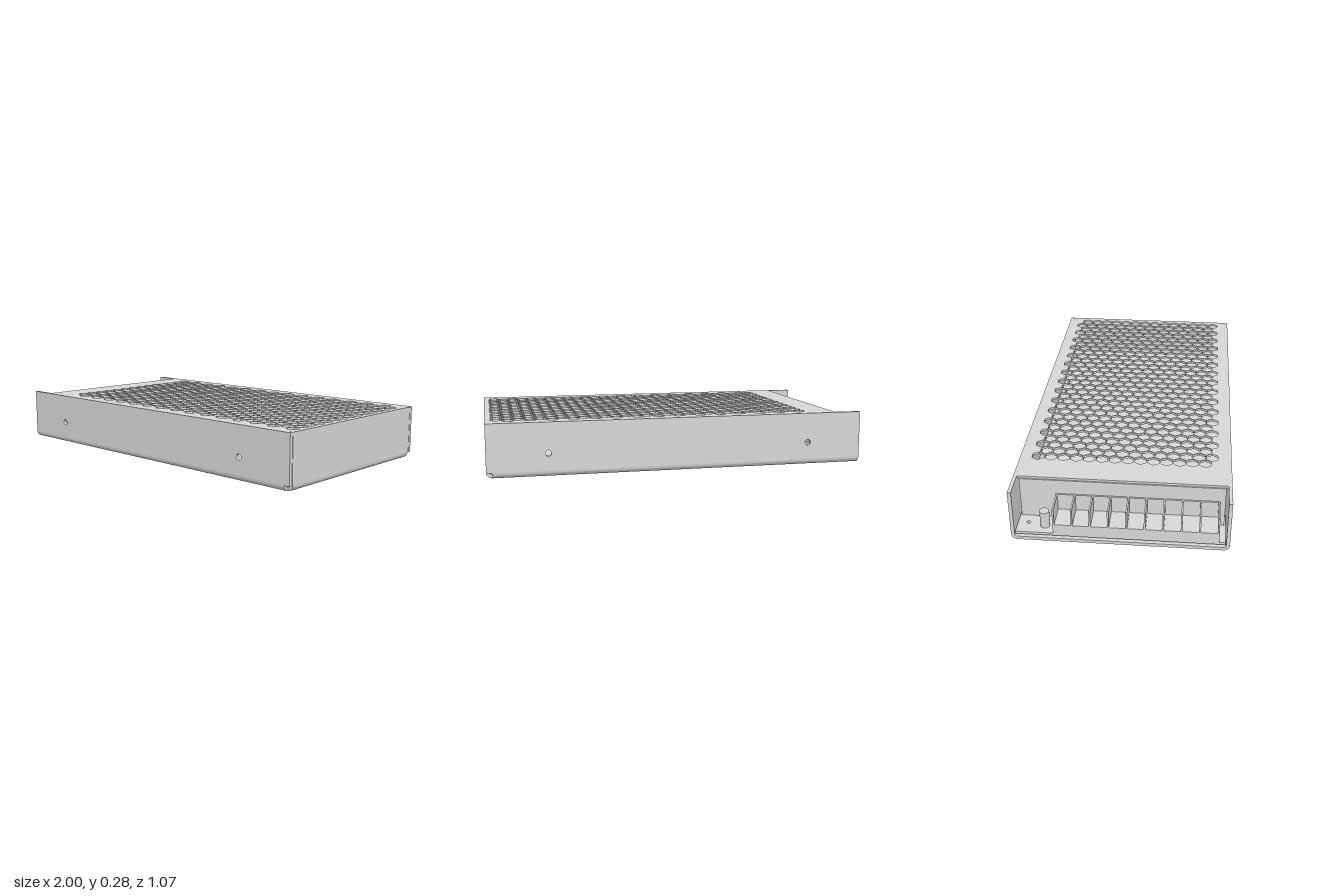
import * as THREE from 'three';
import { toCreasedNormals } from 'three/addons/utils/BufferGeometryUtils.js';

const HALF_Z = 0.533, HEIGHT = 0.28, T = 0.018, BEND = 0.03;

export function createModel() {
  const model = new THREE.Group();
  const metal = new THREE.MeshStandardMaterial({ color: 0xd8d5d6 });
  metal.name = 'galvanised grey';
  metal.side = THREE.DoubleSide;

  const add = (geometry, name, parent = model) => {
    const mesh = new THREE.Mesh(geometry, metal);
    mesh.name = name;
    parent.add(mesh);
    return mesh;
  };
  const box = (x0, x1, y0, y1, z0, z1, name, parent) => {
    const g = new THREE.BoxGeometry(x1 - x0, y1 - y0, z1 - z0);
    g.translate((x0 + x1) / 2, (y0 + y1) / 2, (z0 + z1) / 2);
    return add(g, name, parent);
  };
  const rect = (x0, x1, y0, y1) => new THREE.Shape([
    new THREE.Vector2(x0, y0), new THREE.Vector2(x1, y0),
    new THREE.Vector2(x1, y1), new THREE.Vector2(x0, y1),
  ]);
  // polygonal hole with n corners
  const punch = (shape, x, y, r, n) => {
    const pts = [];
    for (let i = 0; i < n; i++) {
      const a = -i / n * Math.PI * 2;
      pts.push(new THREE.Vector2(x + r * Math.cos(a), y + r * Math.sin(a)));
    }
    shape.holes.push(new THREE.Path(pts));
  };
  const extrude = (shape, depth) => new THREE.ExtrudeGeometry(shape, { depth, bevelEnabled: false, curveSegments: 12 });
  // horizontal plate drawn in x and -z
  const plate = (shape, y, depth) => extrude(shape, depth).rotateX(-Math.PI / 2).translate(0, y, 0);
  // quarter-round sheet bend, outer corner at lower right, centred on the origin
  const bend = (length) => {
    const s = new THREE.Shape();
    s.absarc(0, 0, BEND, -Math.PI / 2, 0, false);
    s.absarc(0, 0, BEND - T, 0, -Math.PI / 2, true);
    s.closePath();
    return toCreasedNormals(extrude(s, length), 0.6);
  };

  // Folded tray: floor with mounting holes
  const tray = new THREE.Group();
  tray.name = 'tray';
  model.add(tray);
  const floor = rect(-1, 1 - BEND, -(HALF_Z - BEND), HALF_Z - BEND);
  const floorHoles = [
    [0.68, -0.21, 0.015], [0.68, 0.26, 0.015], [-0.13, 0.18, 0.012], [-0.71, -0.21, 0.015], [-0.71, 0.26, 0.015],
    [-0.75, -0.43, 0.008], [-0.76, 0.17, 0.008], [0.9, 0.46, 0.008], [0.9, -0.44, 0.008],
  ];
  for (const [x, z, r] of floorHoles) punch(floor, x, -z, r, 16);
  add(plate(floor, 0, T), 'floor', tray);

  // Side walls with screw holes, and their bends
  for (const side of [1, -1]) {
    const wall = rect(-1, 1, BEND, HEIGHT);
    for (const x of [-0.7, 0.69]) punch(wall, x, 0.121, 0.016, 20);
    const name = side > 0 ? 'front' : 'back';
    add(extrude(wall, T).translate(0, 0, side > 0 ? HALF_Z - T : -HALF_Z), name + 'Wall', tray);
    const g = bend(2 - BEND);
    if (side > 0) g.rotateY(-Math.PI / 2).translate(1 - BEND, BEND, HALF_Z - BEND);
    else g.rotateY(Math.PI / 2).translate(-1, BEND, -HALF_Z + BEND);
    add(g, name + 'Bend', tray);
  }

  // Closed end, fitted between the side walls, with its bend
  const endZ = 0.512, endBendZ = 0.505;
  box(1 - T, 1, BEND, HEIGHT, -endZ, endZ, 'endWall', tray);
  add(bend(2 * endBendZ).translate(1 - BEND, BEND, -endBendZ), 'endBend', tray);

  // Perforated lid with honeycomb vents
  const lid = rect(-0.86, 1 - T, -(HALF_Z - T), HALF_Z - T);
  const pitch = 0.0652, step = 0.0559;
  for (let c = 0; c < 30; c++) {
    for (let r = 0; r < 14; r++) {
      const z = -0.444 + (r + (c % 2) / 2) * pitch;
      punch(lid, -0.68 + c * step, -z, 0.0335, 6);
    }
  }
  add(plate(lid, HEIGHT - 0.012, 0.012), 'perforatedLid');

  // Bulkhead under the lid edge
  box(-0.866, -0.858, 0.045, HEIGHT - 0.012, -0.505, 0.505, 'bulkhead');

  // Circuit board along the whole case, with a small hole and an adjuster post
  const board = rect(-0.995, 0.97, -0.512, 0.512);
  punch(board, -0.92, 0.46, 0.01, 12);
  add(plate(board, 0.031, 0.014), 'circuitBoard');
  add(new THREE.CylinderGeometry(0.024, 0.024, 0.09, 20).translate(-0.938, 0.09, -0.374), 'adjusterPost');

  // Terminal block with ten dividers
  const terminal = new THREE.Group();
  terminal.name = 'terminalBlock';
  model.add(terminal);
  const baseTop = 0.1, top = 0.19, z0 = -0.325, z1 = 0.481;
  box(-0.998, -0.867, 0.044, baseTop, z0, z1, 'terminalBase', terminal);
  box(-0.874, -0.866, baseTop, top, z0, z1, 'terminalBack', terminal);
  for (let i = 0; i < 10; i++) {
    const z = -0.321 + i * 0.0885;
    box(-0.998, -0.874, baseTop, top, z - 0.004, z + 0.004, 'terminalDivider', terminal);
  }
  return model;
}
